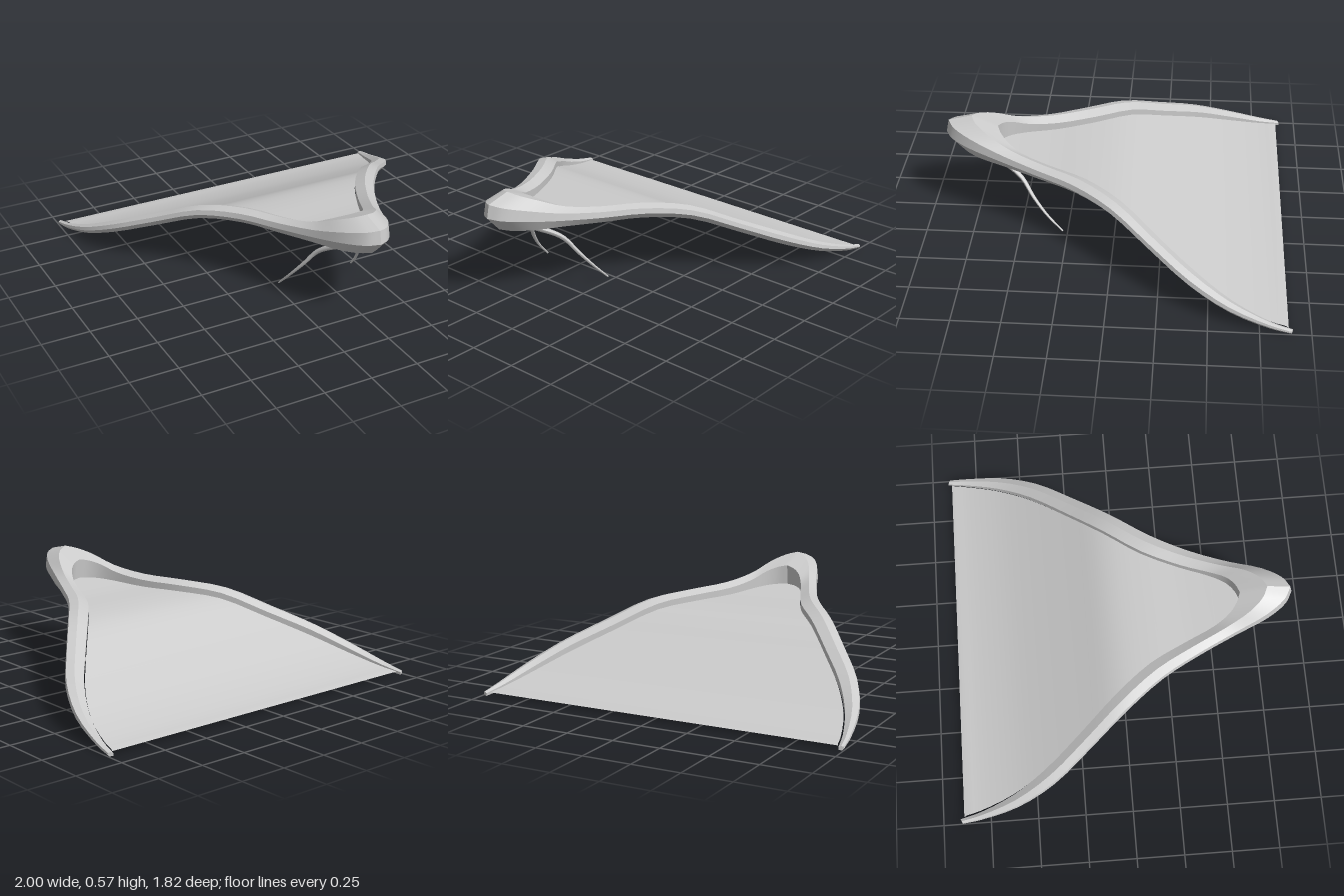
import * as THREE from 'three';
import { toCreasedNormals } from 'three/addons/utils/BufferGeometryUtils.js';

const V = (x, y, z) => new THREE.Vector3(x, y, z);
const STEPS = 33;

// Half-frame stations from nose to tip: outer x,z, inner x,z, crest y, bottom y
const stations = [
  [0, 0.905, 0, 0.63, 0.57, 0.39],
  [0.06, 0.87, 0.05, 0.61, 0.555, 0.388],
  [0.13, 0.77, 0.1, 0.57, 0.525, 0.383],
  [0.2, 0.6, 0.15, 0.49, 0.472, 0.374],
  [0.29, 0.4, 0.215, 0.34, 0.438, 0.36],
  [0.4, 0.2, 0.315, 0.14, 0.425, 0.353],
  [0.55, 0, 0.46, -0.05, 0.392, 0.325],
  [0.71, -0.2, 0.62, -0.24, 0.298, 0.235],
  [0.86, -0.4, 0.78, -0.44, 0.203, 0.14],
  [0.95, -0.6, 0.885, -0.62, 0.115, 0.065],
  [0.99, -0.8, 0.95, -0.8, 0.046, 0.015],
  [1, -0.9, 0.975, -0.91, 0.02, 0],
];

// Cross-section corners: share of the width from outer to inner, share of the height
const section = [[0.28, 0], [0, 0.45], [0.05, 0.83], [0.5, 1], [1, 0.68], [0.98, 0]];

// One smooth rail per section corner, sampled from nose to tip
const rails = section.map(([f, h]) => new THREE.CatmullRomCurve3(
  stations.map(([xo, zo, xi, zi, top, bot]) =>
    V(xo + (xi - xo) * f, bot + (top - bot) * h, zo + (zi - zo) * f))).getPoints(STEPS));

function meshFrom(name, points, index, crease, side = THREE.FrontSide) {
  const g = new THREE.BufferGeometry().setFromPoints(points);
  g.setIndex(index);
  const mesh = new THREE.Mesh(toCreasedNormals(g, crease),
    new THREE.MeshStandardMaterial({ color: 0xcccccc, side }));
  mesh.name = name;
  return mesh;
}

// Curved frame running from one tip through the nose to the other tip
function makeFrame() {
  const points = [], index = [], n = section.length;
  for (let j = -STEPS; j <= STEPS; j++) {
    for (const rail of rails) {
      const p = rail[Math.abs(j)];
      points.push(V(Math.sign(j) * p.x, p.y, p.z));
    }
  }
  const last = STEPS * 2;
  for (let i = 0; i < last; i++) {
    for (let k = 0; k < n; k++) {
      const a = i * n + k, b = i * n + (k + 1) % n;
      index.push(a, a + n, b + n, a, b + n, b);
    }
  }
  for (let k = 1; k < n - 1; k++) {
    index.push(0, k, k + 1, last * n, last * n + k + 1, last * n + k);
  }
  return meshFrom('frame', points, index, 0.42);
}

// Thin sheet ruled straight across between the inner lower edges of the frame
function makeSheet() {
  const points = [], index = [];
  rails[5].forEach((p, i) => {
    const y = p.y + 0.015, z = Math.max(p.z, -0.89);
    points.push(V(-p.x * 0.99, y, z), V(p.x * 0.99, y, z));
    if (i < STEPS) {
      const a = i * 2;
      index.push(a, a + 1, a + 3, a, a + 3, a + 2);
    }
  });
  return meshFrom('sheet', points, index, 0.6, THREE.DoubleSide);
}

// Curved leg under the nose, tapering to its foot
function makeLeg(side) {
  const path = new THREE.CatmullRomCurve3([
    [0.01, 0.4, 0.74], [0.06, 0.345, 0.62], [0.115, 0.27, 0.5],
    [0.16, 0.18, 0.435], [0.195, 0.095, 0.365], [0.218, 0.004, 0.276],
  ].map(([x, y, z]) => V(x * side, y, z)));
  const rows = 24, sides = 8;
  const g = new THREE.TubeGeometry(path, rows, 0.018, sides);
  const pos = g.attributes.position, p = V(0, 0, 0);
  for (let i = 0; i < pos.count; i++) {
    const t = Math.floor(i / (sides + 1)) / rows;
    const c = path.getPointAt(t);
    p.fromBufferAttribute(pos, i).sub(c).multiplyScalar(1 - 0.75 * t).add(c);
    pos.setXYZ(i, p.x, p.y, p.z);
  }
  g.computeVertexNormals();
  const mesh = new THREE.Mesh(g,
    new THREE.MeshStandardMaterial({ color: 0xcccccc, side: THREE.DoubleSide }));
  mesh.name = side > 0 ? 'leftLeg' : 'rightLeg';
  return mesh;
}

export function createModel() {
  const model = new THREE.Group();
  model.name = 'glider';
  model.add(makeFrame(), makeSheet(), makeLeg(1), makeLeg(-1));
  return model;
}
